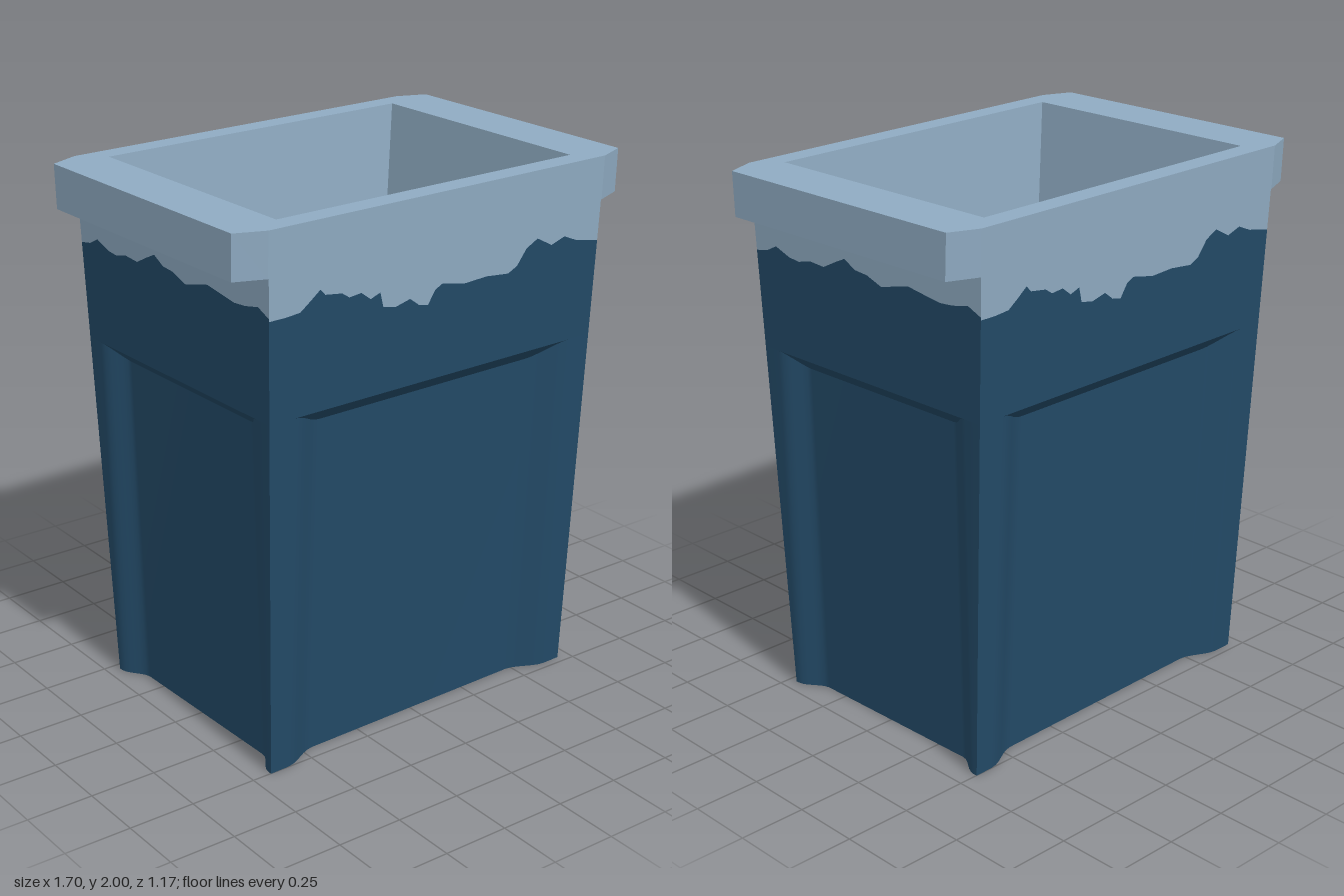
import * as THREE from 'three';

const RIM_Y = 1.84, TOP = 2, LEDGE_Y = 1.335, LEDGE_DROP = 0.055, DEPTH = 0.055;

// The four walls, as quarter turns; half widths at the foot and under the rim
const halfX = (y) => 0.688 + (0.727 - 0.688) * y / RIM_Y;
const halfZ = (y) => 0.485 + (0.563 - 0.485) * y / RIM_Y;

// Jagged lower edge of the pale band: [position along the wall, height]
const longEdge = [
  [-9, 1.695], [-0.66, 1.695], [-0.6, 1.7], [-0.56, 1.73], [-0.52, 1.762], [-0.5, 1.74], [-0.43, 1.73],
  [-0.4, 1.71], [-0.35, 1.715], [-0.31, 1.685], [-0.27, 1.7], [-0.255, 1.645], [-0.2, 1.635], [-0.14, 1.65],
  [-0.1, 1.62], [-0.06, 1.612], [-0.03, 1.66], [0, 1.675], [0.1, 1.655], [0.2, 1.66], [0.3, 1.65],
  [0.34, 1.67], [0.38, 1.725], [0.43, 1.752], [0.5, 1.715], [0.56, 1.735], [0.62, 1.71], [9, 1.69]];
const shortEdge = [
  [-9, 1.69], [-0.5, 1.7], [-0.45, 1.725], [-0.38, 1.7], [-0.33, 1.695], [-0.27, 1.71], [-0.2, 1.705],
  [-0.14, 1.735], [-0.09, 1.758], [-0.04, 1.73], [0.02, 1.725], [0.09, 1.7], [0.15, 1.715], [0.22, 1.732],
  [0.3, 1.72], [0.37, 1.71], [0.43, 1.715], [0.5, 1.73], [9, 1.705]];

const walls = [0, 1, 2, 3].map((k) => {
  const long = k % 2 === 0;
  const along = long ? halfX : halfZ, out = long ? halfZ : halfX;
  const c = Math.round(Math.cos(k * Math.PI / 2)), n = Math.round(Math.sin(k * Math.PI / 2));
  return {
    name: ['front', 'left', 'back', 'right'][k],
    outer: long ? 0.615 : 0.47,
    inner: long ? 0.465 : 0.36,
    edge: long ? longEdge : shortEdge,
    // point on the wall; positions past a corner stop at the corner
    at(s, y, inset = 0) {
      const a = THREE.MathUtils.clamp(s, -along(y), along(y)), o = out(y) - inset;
      return [a * c + o * n, y, -a * n + o * c];
    },
  };
});

// Surface between a lower and an upper row of points
function strip(low, high) {
  const g = new THREE.BufferGeometry(), n = low.length, index = [];
  g.setAttribute('position', new THREE.Float32BufferAttribute([...low, ...high].flat(), 3));
  for (let i = 0; i < n - 1; i++) index.push(i, i + 1, n + i + 1, i, n + i + 1, n + i);
  g.setIndex(index);
  g.computeVertexNormals();
  return g;
}

// Recess columns across a wall: [position, inset], with smooth ramps
function recess({ outer, inner }) {
  const half = [];
  for (let i = 0; i <= 6; i++) {
    const t = i / 6;
    half.push([outer + (inner - outer) * t, DEPTH * t * t * (3 - 2 * t)]);
  }
  return [[-9, 0], ...half.map(([s, d]) => [-s, d]), ...half.reverse(), [9, 0]];
}

export function createModel() {
  const darkBlue = new THREE.MeshStandardMaterial({ color: 0x234a67 });
  darkBlue.name = 'darkBlue';
  const paleBlue = new THREE.MeshStandardMaterial({ color: 0x8fabc2 });
  paleBlue.name = 'paleBlue';

  const model = new THREE.Group();
  model.name = 'taperedBin';
  const add = (name, geometry, material) => {
    const mesh = new THREE.Mesh(geometry, material);
    mesh.name = name;
    model.add(mesh);
  };

  // Walls: recessed panel, slanted ledge, plain upper wall, pale band
  const foot = [];
  for (const w of walls) {
    const cols = recess(w);
    const bottom = cols.map(([s, d]) => w.at(s, 0, d));
    const under = cols.map(([s, d]) => w.at(s, LEDGE_Y - LEDGE_DROP * d / DEPTH, d));
    const lip = cols.map(([s]) => w.at(s, LEDGE_Y));
    add(w.name + 'Panel', strip(bottom, under), darkBlue);
    add(w.name + 'Ledge', strip(under.slice(1, -1), lip.slice(1, -1)), darkBlue);

    const low = w.edge.map(([s]) => w.at(s, LEDGE_Y));
    const jag = w.edge.map(([s, y]) => w.at(s, y));
    const high = w.edge.map(([s]) => w.at(s, RIM_Y));
    add(w.name + 'UpperWall', strip(low, jag), darkBlue);
    add(w.name + 'PaleBand', strip(jag, high), paleBlue);
    foot.push(...bottom.slice(0, -1).map(([x, , z]) => new THREE.Vector2(x, z)));
  }

  // Underside follows the recessed outline
  add('underside', new THREE.ShapeGeometry(new THREE.Shape(foot)).rotateX(Math.PI / 2), darkBlue);

  // Rim with cut corners, overhanging at the two ends
  const pts = (list) => list.map(([x, y]) => new THREE.Vector2(x, y));
  const rim = new THREE.Shape(pts([
    [0.73, -0.57], [0.84, -0.525], [0.84, 0.525], [0.73, 0.57],
    [-0.73, 0.57], [-0.84, 0.525], [-0.84, -0.525], [-0.73, -0.57]]));
  const ox = 0.64, oz = 0.488;
  rim.holes.push(new THREE.Path(pts([[-ox, -oz], [-ox, oz], [ox, oz], [ox, -oz]])));
  const rimGeo = new THREE.ExtrudeGeometry(rim, { depth: TOP - RIM_Y, bevelEnabled: false });
  rimGeo.rotateX(-Math.PI / 2).translate(0, RIM_Y, 0);
  const p = rimGeo.attributes.position;
  for (let i = 0; i < p.count; i++) {
    if (p.getY(i) < RIM_Y + 0.01) p.setZ(i, p.getZ(i) * 0.563 / 0.57);
  }
  rimGeo.computeVertexNormals();
  add('rim', rimGeo, paleBlue);

  // Cavity: four sloping walls and a floor
  const floorY = 0.4, fx = 0.47, fz = 0.39;
  const corners = [[1, 1], [-1, 1], [-1, -1], [1, -1]];
  corners.forEach(([ax, az], i) => {
    const [bx, bz] = corners[(i + 1) % 4];
    add('cavityWall', strip(
      [[ax * fx, floorY, az * fz], [bx * fx, floorY, bz * fz]],
      [[ax * ox, TOP, az * oz], [bx * ox, TOP, bz * oz]]), paleBlue);
  });
  add('cavityFloor', new THREE.PlaneGeometry(fx * 2, fz * 2).rotateX(-Math.PI / 2).translate(0, floorY, 0), paleBlue);

  // Stands slightly turned
  model.rotation.y = 0.024;
  return model;
}
